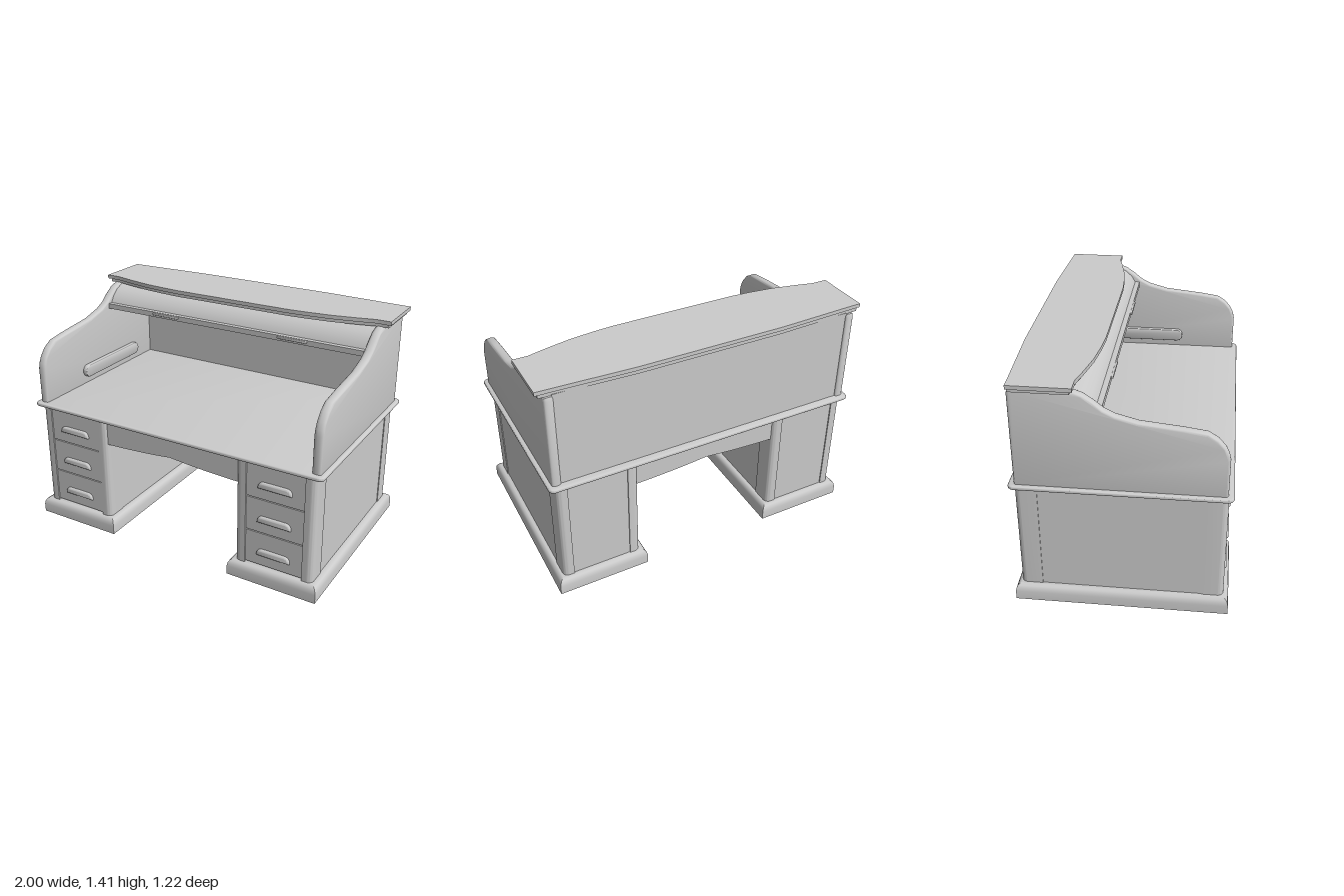
import * as THREE from 'three';
import { toCreasedNormals } from 'three/addons/utils/BufferGeometryUtils.js';

const material = new THREE.MeshStandardMaterial({ color: 0xcccccc, side: THREE.DoubleSide });

function add(parent, name, geo, x = 0, y = 0, z = 0) {
  const mesh = new THREE.Mesh(geo, material);
  mesh.name = name;
  mesh.position.set(x, y, z);
  parent.add(mesh);
  return mesh;
}

// Box given by its extents
function box(parent, name, x0, x1, y0, y1, z0, z1) {
  return add(parent, name, new THREE.BoxGeometry(x1 - x0, y1 - y0, z1 - z0),
    (x0 + x1) / 2, (y0 + y1) / 2, (z0 + z1) / 2);
}

const toShape = (pts) => new THREE.Shape(pts.map(([a, b]) => new THREE.Vector2(a, b)));

function roundedRect(hw, hh, r) {
  const s = new THREE.Shape();
  s.absarc(hw - r, hh - r, r, 0, Math.PI / 2);
  s.absarc(-hw + r, hh - r, r, Math.PI / 2, Math.PI);
  s.absarc(-hw + r, -hh + r, r, Math.PI, Math.PI * 1.5);
  s.absarc(hw - r, -hh + r, r, Math.PI * 1.5, Math.PI * 2);
  s.closePath();
  return s;
}

// Extrusion of total depth d, with an optional rounded edge kept inside the outline
function extrude(shape, d, size = 0, thick = size, segs = 4) {
  const geo = new THREE.ExtrudeGeometry(shape, {
    depth: d - 2 * thick, bevelEnabled: size > 0, bevelSize: size, bevelThickness: thick,
    bevelOffset: -size, bevelSegments: segs, curveSegments: 8,
  });
  geo.translate(0, 0, thick);
  return toCreasedNormals(geo, 0.6);
}

// Shape drawn as (z, y), extruded from x0 to x1
const alongX = (shape, x0, x1, size, thick) =>
  extrude(shape, x1 - x0, size, thick).rotateY(-Math.PI / 2).translate(x1, 0, 0);

// Shape drawn as (x, -z), extruded from y0 to y1
const alongY = (shape, y0, y1, size, thick, segs) =>
  extrude(shape, y1 - y0, size, thick, segs).rotateX(-Math.PI / 2).translate(0, y0, 0);

// Moulding profile of [inset, y] points swept around a rectangle with mitred corners
function rectSweep(profile, hw, hd) {
  const pos = [];
  const corner = ([d, y], k) => {
    const [sx, sz] = [[1, 1], [1, -1], [-1, -1], [-1, 1]][k % 4];
    return [sx * (hw - d), y, sz * (hd - d)];
  };
  profile.forEach((p, i) => {
    const q = profile[(i + 1) % profile.length];
    for (let k = 0; k < 4; k++) {
      const a = corner(p, k), b = corner(p, k + 1), c = corner(q, k + 1), d = corner(q, k);
      pos.push(...a, ...b, ...c, ...a, ...c, ...d);
    }
  });
  const geo = new THREE.BufferGeometry();
  geo.setAttribute('position', new THREE.Float32BufferAttribute(pos, 3));
  return toCreasedNormals(geo, 0.6);
}

// Corner post with its outer vertical edge rounded; sx, sz point outwards
function post(parent, x, z, sx, sz) {
  const w = 0.065, d = 0.125, r = 0.035;
  const s = new THREE.Shape();
  s.moveTo(-w, -d);
  s.lineTo(0, -d);
  s.lineTo(0, -r);
  s.absarc(-r, -r, r, 0, Math.PI / 2);
  s.lineTo(-w, 0);
  s.closePath();
  const pts = s.getPoints(8).map((p) => [x + sx * p.x, -(z + sz * p.y)]);
  add(parent, 'cornerPost', alongY(toShape(pts), 0.1, 0.77));
}

function drawer(parent, y0, y1) {
  const group = new THREE.Group();
  group.name = 'drawer';
  parent.add(group);
  box(group, 'drawerFront', -0.178, 0.178, y0, y1, 0.555, 0.574);
  box(group, 'drawerBox', -0.16, 0.16, y0 + 0.015, y1 - 0.03, 0.05, 0.555);
  // Cup pull with a rounded top and flat bottom
  const s = new THREE.Shape();
  s.moveTo(-0.105, 0);
  s.lineTo(0.105, 0);
  s.quadraticCurveTo(0.105, 0.04, 0.07, 0.042);
  s.lineTo(-0.07, 0.042);
  s.quadraticCurveTo(-0.105, 0.04, -0.105, 0);
  add(group, 'drawerPull', extrude(s, 0.04, 0.012), 0, y0 + 0.068, 0.552);
}

// Drawer pedestal, centred on its own x = 0
function pedestal(side) {
  const group = new THREE.Group();
  group.name = side > 0 ? 'leftPedestal' : 'rightPedestal';
  const profile = [[0, 0], [0, 0.055], [0.004, 0.075], [0.012, 0.09], [0.028, 0.1], [0.06, 0.1], [0.06, 0]];
  add(group, 'plinth', rectSweep(profile, 0.283, 0.61));
  const hw = 0.245, hd = 0.58;
  for (const sx of [-1, 1]) {
    for (const sz of [-1, 1]) post(group, sx * hw, sz * hd, sx, sz);
    const x = sx * (hw - 0.013);
    box(group, 'sidePanel', x - 0.008, x + 0.008, 0.1, 0.77, -0.47, 0.47);
  }
  box(group, 'backPanel', -0.19, 0.19, 0.1, 0.77, -0.573, -0.555);
  for (let i = 0; i < 3; i++) drawer(group, 0.112 + i * 0.218, 0.324 + i * 0.218);
  group.position.x = side * 0.696;
  return group;
}

export function createModel() {
  const desk = new THREE.Group();
  desk.name = 'rollTopDesk';
  desk.add(pedestal(1), pedestal(-1));

  // Worktop with rounded edge
  add(desk, 'worktop', alongY(roundedRect(0.983, 0.607, 0.035), 0.765, 0.79, 0.012, 0.012));

  // Arched aprons over the knee space
  const arch = new THREE.Shape();
  arch.moveTo(-0.46, 0.77);
  arch.lineTo(-0.46, 0.605);
  arch.quadraticCurveTo(-0.2, 0.612, 0, 0.635);
  arch.quadraticCurveTo(0.2, 0.612, 0.46, 0.605);
  arch.lineTo(0.46, 0.77);
  add(desk, 'frontApron', extrude(arch, 0.025), 0, 0, 0.535);
  add(desk, 'backApron', extrude(arch, 0.025), 0, 0, -0.56);

  // Curved side walls with rounded edges, and a rail inside each
  const wall = toShape([
    [-0.575, 0.775], [0.575, 0.775], [0.575, 1.01], [0.567, 1.045], [0.548, 1.085], [0.51, 1.13],
    [0.455, 1.165], [0.33, 1.183], [0.1, 1.207], [-0.02, 1.24], [-0.08, 1.27], [-0.13, 1.312],
    [-0.185, 1.35], [-0.235, 1.367], [-0.545, 1.37], [-0.567, 1.362], [-0.575, 1.34],
  ]);
  for (const side of [-1, 1]) {
    const c = side * 0.93;
    add(desk, side > 0 ? 'leftWall' : 'rightWall', alongX(wall, c - 0.027, c + 0.027, 0.014, 0.022));
    const r = side * 0.89;
    add(desk, 'innerRail', alongX(roundedRect(0.29, 0.04, 0.039), r - 0.016, r + 0.016, 0.006, 0.006), 0, 0.875, -0.075);
  }

  // Back board
  box(desk, 'backBoard', -0.91, 0.91, 0.785, 1.37, -0.563, -0.545);

  // Raised roll shutter: a curved sheet, bottom bar and two grips
  const outer = [[-0.3, 1.366], [-0.235, 1.355], [-0.19, 1.335], [-0.15, 1.3], [-0.122, 1.255], [-0.115, 1.235]];
  const inner = outer.map(([z, y]) => [z - 0.014, y - 0.012]).reverse();
  add(desk, 'rollShutter', alongX(toShape([...outer, ...inner]), -0.91, 0.91));
  box(desk, 'shutterBar', -0.905, 0.905, 1.225, 1.258, -0.13, -0.093);
  for (const side of [-1, 1]) {
    add(desk, 'shutterGrip', extrude(roundedRect(0.098, 0.009, 0.008), 0.025, 0.005), side * 0.448, 1.247, -0.107);
  }

  // Bowed top board with a narrower moulding beneath
  const topOutline = (inset) => {
    const e = 1 - inset;
    const front = [[0.91, -0.225], [0.8, -0.198], [0.65, -0.167], [0.5, -0.15], [0.38, -0.142]];
    const back = [[1, -0.563], [0.9, -0.566], [0.45, -0.585]];
    const half = [...back.slice().reverse().map(([x, z]) => [x * e, z + inset * 0.3]),
      [e, -0.225 - inset], ...front.map(([x, z]) => [x, z - inset])];
    const mirrored = half.map(([x, z]) => [-x, z]).reverse();
    return toShape([...half, ...mirrored].map(([x, z]) => [x, -z]));
  };
  add(desk, 'topBoard', alongY(topOutline(0), 1.387, 1.41));
  add(desk, 'topMoulding', alongY(topOutline(0.018), 1.364, 1.388));
  return desk;
}
